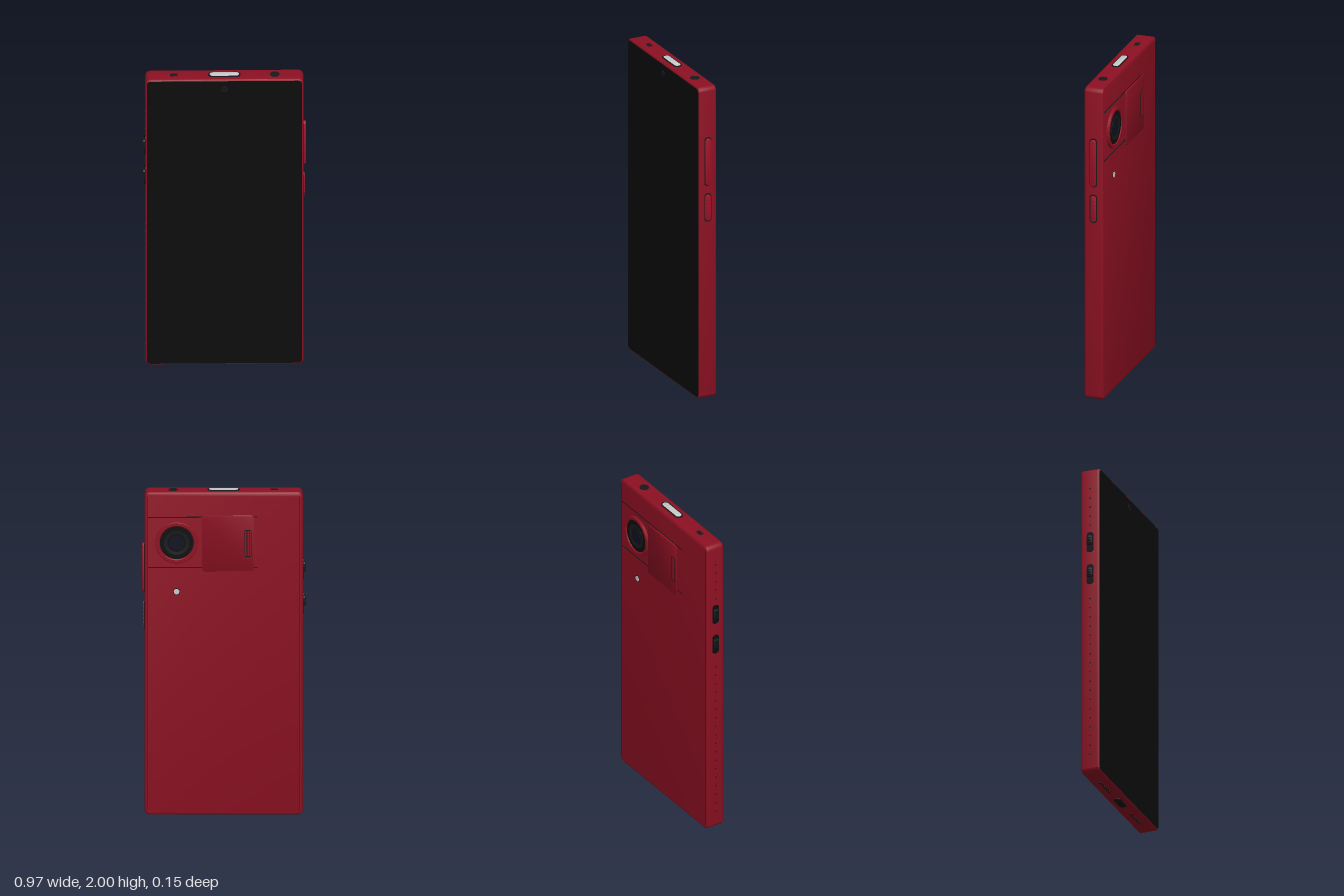
import * as THREE from 'three';
import { toCreasedNormals } from 'three/addons/utils/BufferGeometryUtils.js';

const mat = (color) => new THREE.MeshStandardMaterial({ color });
const red = mat(0x8c1022), brightRed = mat(0xa01228), black = mat(0x0c0c0c);
const dark = mat(0x17191c), blue = mat(0x0d1220), light = mat(0xcccccc);

function roundedRect(w, h, r) {
  const s = new THREE.Shape(), x = w / 2, y = h / 2;
  s.absarc(x - r, y - r, r, 0, Math.PI / 2);
  s.absarc(-x + r, y - r, r, Math.PI / 2, Math.PI);
  s.absarc(-x + r, -y + r, r, Math.PI, Math.PI * 1.5);
  s.absarc(x - r, -y + r, r, Math.PI * 1.5, Math.PI * 2);
  s.closePath();
  return s;
}

// Rounded slab from z = 0 to z = d, overall size w by h, with softened rims
function slab(w, h, d, r, bevel = 0) {
  const g = new THREE.ExtrudeGeometry(roundedRect(w - 2 * bevel, h - 2 * bevel, r - bevel * 0.9), {
    depth: d - 2 * bevel, bevelEnabled: bevel > 0, bevelSize: bevel, bevelThickness: bevel,
    bevelSegments: 4, curveSegments: 10,
  });
  g.translate(0, 0, bevel);
  return toCreasedNormals(g, 0.6);
}

function add(parent, name, geometry, material, x = 0, y = 0, z = 0) {
  const m = new THREE.Mesh(geometry, material);
  m.name = name;
  m.position.set(x, y, z);
  parent.add(m);
  return m;
}

// Turned part whose axis points out of the face (+z)
function turned(points) {
  const g = new THREE.LatheGeometry(points.map(([r, y]) => new THREE.Vector2(r, y)), 48);
  g.rotateX(Math.PI / 2);
  return toCreasedNormals(g, 0.6);
}
const disc = (r, h) => turned([[r, 0], [r, h], [0, h]]);

export function createModel() {
  const model = new THREE.Group();
  model.name = 'phone';

  // Each face has its own group whose +z points outwards
  const face = (name, pos, rx, ry) => {
    const g = new THREE.Group();
    g.name = name;
    g.position.set(...pos);
    g.rotation.set(rx, ry, 0);
    model.add(g);
    return g;
  };
  const H = Math.PI / 2, zMid = 0.01;
  const front = face('frontFace', [0, 0, 0.069], 0, 0);
  const back = face('backFace', [0, 0, -0.05], 0, Math.PI);
  const top = face('topFace', [0, 1.993, zMid], -H, 0);
  const bottom = face('bottomFace', [0, 0.007, zMid], H, 0);
  const leftSide = face('leftSide', [0.47, 0, zMid], 0, H);
  const rightSide = face('rightSide', [-0.47, 0, zMid], 0, -H);

  // Body shell
  add(model, 'body', slab(0.94, 1.986, 0.119, 0.03, 0.012), red, 0, 1, -0.05);

  // Screen and front camera
  add(front, 'screen', slab(0.922, 1.966, 0.004, 0.024), black, 0, 1, -0.003);
  add(front, 'frontCameraRing', disc(0.02, 0.003), dark, 0, 1.93);
  add(front, 'frontCameraLens', disc(0.01, 0.004), blue, 0, 1.93);

  // Top: port, power key in its surround, audio jack
  add(top, 'topPort', slab(0.046, 0.027, 0.002, 0.006), dark, -0.3, 0);
  add(top, 'powerKeySurround', slab(0.194, 0.052, 0.004, 0.0255), dark);
  add(top, 'powerKey', slab(0.174, 0.038, 0.007, 0.0185, 0.002), light);
  add(top, 'jackRim', turned([[0.028, 0], [0.028, 0.003], [0.021, 0.003], [0.021, 0.001], [0, 0.001]]), dark, 0.3, 0);

  // Bottom: charging port between two rows of speaker holes
  add(bottom, 'chargePortRim', slab(0.125, 0.046, 0.005, 0.022), dark);
  add(bottom, 'chargePort', slab(0.1, 0.026, 0.007, 0.012), black);
  for (const side of [-1, 1])
    for (let i = 0; i < 6; i++)
      add(bottom, 'speakerHole', disc(0.008, 0.005), black, side * (0.17 + i * 0.026), 0);

  // Left side: long key and ribbed short key
  add(leftSide, 'longKeyGap', slab(0.046, 0.31, 0.002, 0.02), dark, 0, 1.52);
  add(leftSide, 'longKey', slab(0.036, 0.296, 0.014, 0.016, 0.003), brightRed, 0, 1.52);
  add(leftSide, 'shortKeyGap', slab(0.046, 0.18, 0.002, 0.02), dark, 0, 1.227);
  add(leftSide, 'shortKey', slab(0.036, 0.164, 0.007, 0.016, 0.002), brightRed, 0, 1.227);
  for (let i = -2; i <= 2; i++)
    add(leftSide, 'keyRib', slab(0.024, 0.006, 0.009, 0.003), red, 0, 1.227 + i * 0.024);

  // Right side: two sliding switches in dark recesses, and a row of small dots
  for (const [y, knobY] of [[1.51, 1.52], [1.3, 1.31]]) {
    add(rightSide, 'switchRecess', slab(0.046, 0.13, 0.003, 0.022), black, 0, y);
    add(rightSide, 'switchKnob', slab(0.034, 0.06, 0.016, 0.012, 0.003), dark, 0, knobY);
    for (const k of [-1, 0, 1])
      add(rightSide, 'switchRib', slab(0.026, 0.006, 0.018, 0.002), black, 0, knobY + k * 0.014);
  }
  for (let y = 0.12; y < 1.9; y += 0.06)
    if (y < 1.2 || y > 1.6) add(rightSide, 'gripDot', disc(0.005, 0.001), dark, 0, y);

  // Back: seam of the rear panel
  for (const x of [-0.452, 0.452]) add(back, 'panelSeam', slab(0.003, 1.93, 0.001, 0.001), dark, x, 1);

  // Rail grooves for the sliding lens cover
  for (const y of [1.53, 1.84]) add(back, 'railGroove', slab(0.65, 0.006, 0.001, 0.002), dark, -0.125, y);

  // Main camera with stepped rim and glass
  const camera = new THREE.Group();
  camera.name = 'mainCamera';
  camera.position.set(-0.28, 1.685, 0);
  back.add(camera);
  add(camera, 'cameraRim', turned([[0.126, 0], [0.126, 0.013], [0.123, 0.016], [0.106, 0.016], [0.1, 0.009], [0, 0.009]]), red);
  add(camera, 'cameraGlass', disc(0.1, 0.011), black);
  add(camera, 'cameraRing', turned([[0.075, 0], [0.075, 0.013], [0.066, 0.013], [0.055, 0.011], [0, 0.011]]), dark);
  add(camera, 'cameraLens', disc(0.045, 0.0125), blue);

  // Sliding lens cover with ribbed thumb grip
  const cover = new THREE.Group();
  cover.name = 'lensCover';
  cover.position.set(0.025, 1.685, 0);
  back.add(cover);
  add(cover, 'coverSlider', slab(0.2, 0.306, 0.023, 0.012), brightRed);
  add(cover, 'coverPlate', slab(0.31, 0.342, 0.005, 0.018, 0.001), red, 0, 0, 0.021);
  add(cover, 'gripRecess', slab(0.044, 0.165, 0.001, 0.01), dark, 0.118, 0, 0.0255);
  for (let i = 0; i < 4; i++)
    add(cover, 'gripRib', slab(0.007, 0.155, 0.0015, 0.003), red, 0.103 + i * 0.0098, 0, 0.0257);

  // Flash lamp
  add(back, 'flashRim', disc(0.021, 0.002), dark, -0.28, 1.383);
  add(back, 'flashLamp', disc(0.017, 0.004), light, -0.28, 1.383);

  return model;
}
